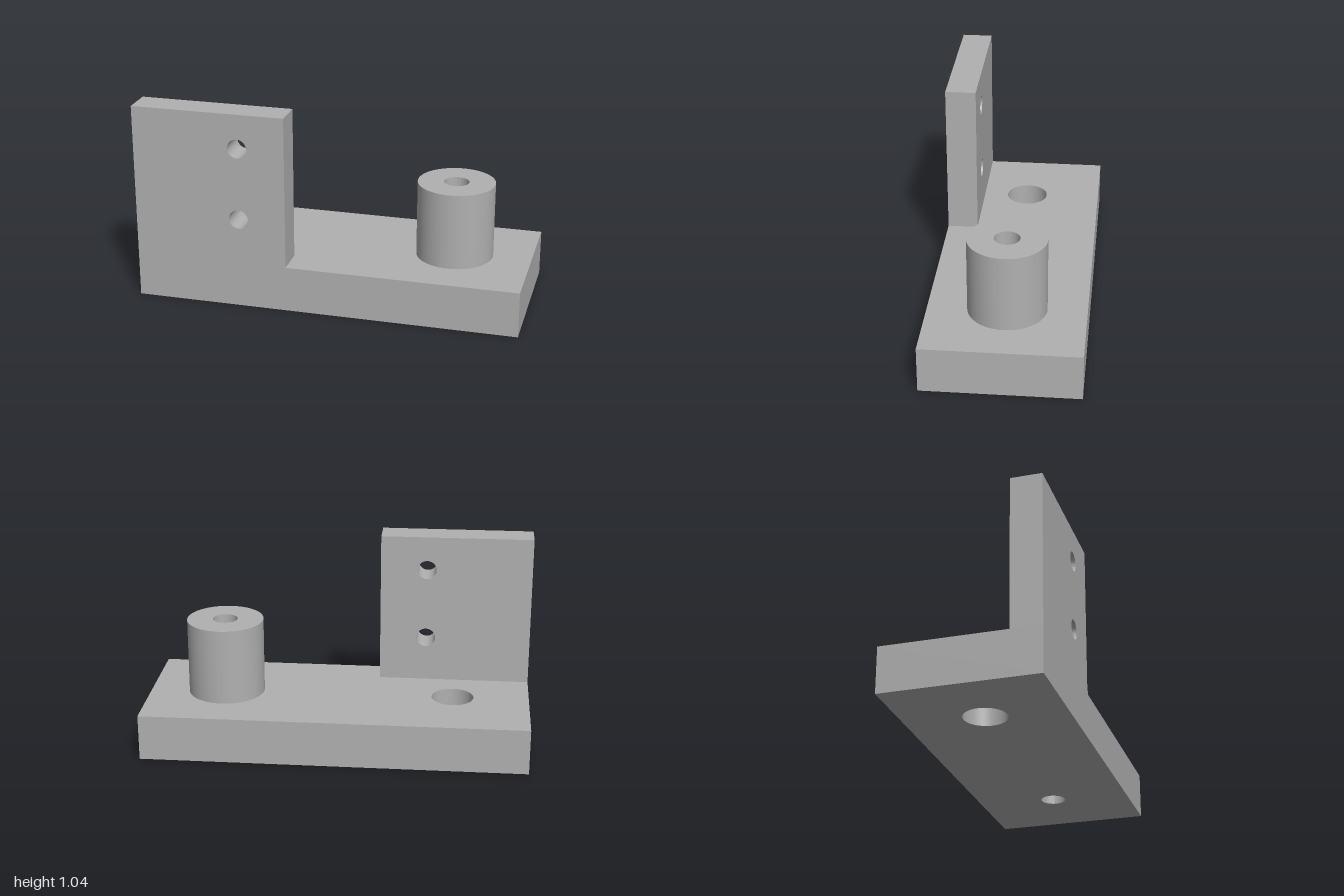
import * as THREE from 'three';
import { toCreasedNormals } from 'three/addons/utils/BufferGeometryUtils.js';

const BASE_H = 0.24, BORE_R = 0.065;

// Rectangular plate from (x0, y0) to (x1, y1) with round through-holes [x, y, radius]
function drilledPlate(x0, y0, x1, y1, depth, holes) {
  const shape = new THREE.Shape();
  shape.moveTo(x0, y0).lineTo(x1, y0).lineTo(x1, y1).lineTo(x0, y1).closePath();
  for (const [x, y, r] of holes) {
    shape.holes.push(new THREE.Path().absarc(x, y, r, 0, Math.PI * 2, true));
  }
  const geometry = new THREE.ExtrudeGeometry(shape, { depth, bevelEnabled: false, curveSegments: 32 });
  return toCreasedNormals(geometry, 0.6);
}

export function createModel() {
  const model = new THREE.Group();
  model.name = 'mountingBracket';
  const metal = new THREE.MeshStandardMaterial({ color: 0xb0b0b0 });
  metal.name = 'grey metal';

  const add = (name, geometry) => {
    const mesh = new THREE.Mesh(geometry, metal);
    mesh.name = name;
    model.add(mesh);
    return mesh;
  };

  // Base slab, with the large mounting hole and the bore below the boss
  const base = drilledPlate(-1, -0.4, 1, 0.4, BASE_H, [[-0.6, 0, 0.11], [0.6, 0, BORE_R]]);
  add('base', base.rotateX(-Math.PI / 2));

  // Upright plate along the front edge, with two screw holes
  const upright = drilledPlate(-1, BASE_H, -0.2, 1.04, 0.16, [[-0.445, 0.48, 0.05], [-0.445, 0.86, 0.05]]);
  add('uprightPlate', upright.translate(0, 0, 0.24));

  // Hollow cylindrical boss: outer wall, rim and bore
  const profile = [[0.2, BASE_H], [0.2, 0.64], [BORE_R, 0.64], [BORE_R, BASE_H]]
    .map(([r, y]) => new THREE.Vector2(r, y));
  add('boss', toCreasedNormals(new THREE.LatheGeometry(profile, 64), 0.6)).position.x = 0.6;

  return model;
}
